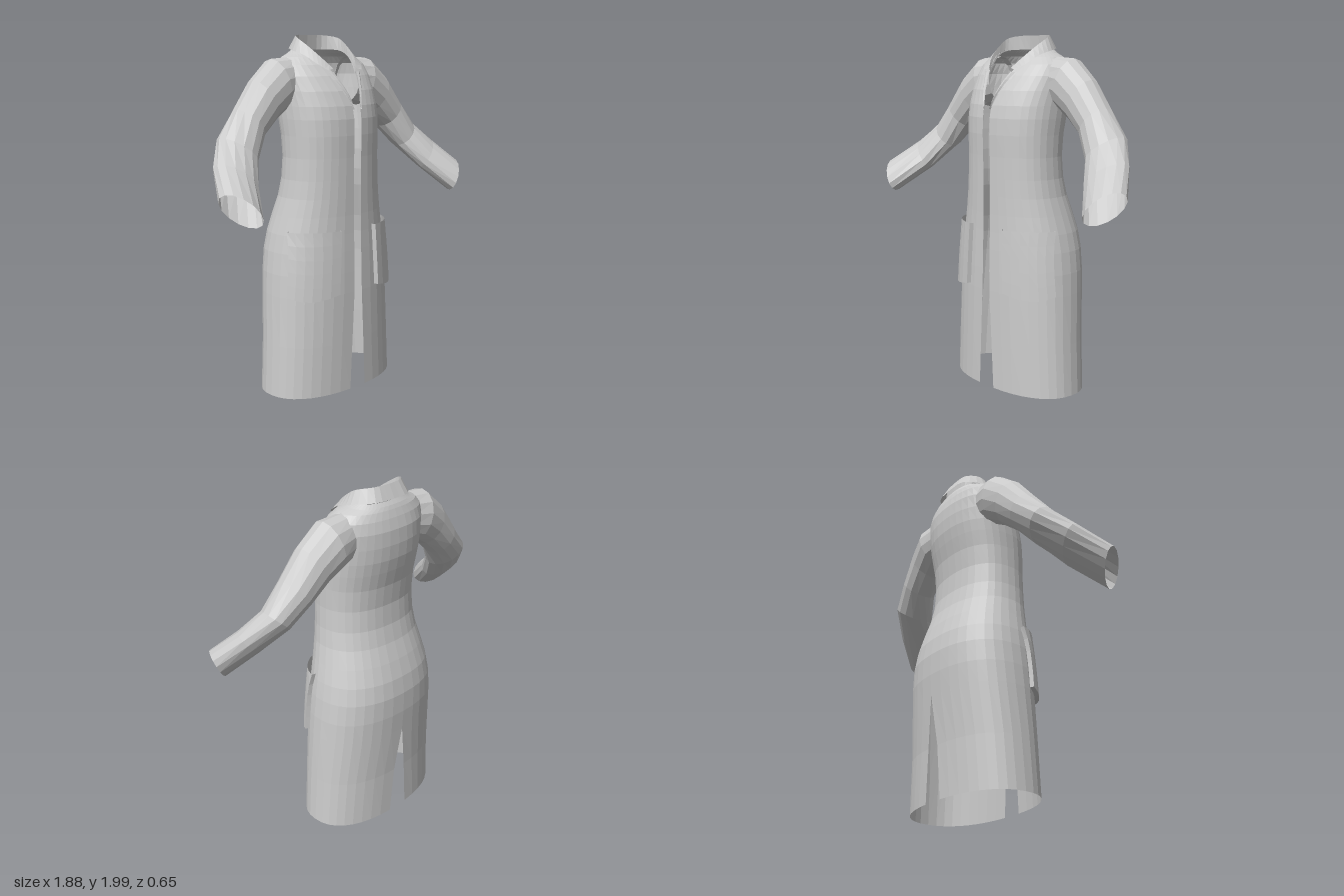
import * as THREE from 'three';

const material = new THREE.MeshStandardMaterial({ color: 0xcccccc, flatShading: true, side: THREE.DoubleSide });
const CENTRE = -0.008;

// Surface through rows of [x, y, z] points; side = -1 mirrors it in x
function sheet(name, rows, side = 1, shift = CENTRE) {
  const n = rows[0].length, pos = [], idx = [];
  for (const row of rows) {
    const r = side < 0 ? [...row].reverse() : row;
    for (const [x, y, z] of r) pos.push(x * side + shift, y, z);
  }
  for (let i = 0; i < rows.length - 1; i++) {
    for (let j = 0; j < n - 1; j++) {
      const a = i * n + j, c = a + n;
      idx.push(a, a + 1, c, a + 1, c + 1, c);
    }
  }
  const g = new THREE.BufferGeometry();
  g.setAttribute('position', new THREE.Float32BufferAttribute(pos, 3));
  g.setIndex(idx);
  g.computeVertexNormals();
  const mesh = new THREE.Mesh(g, material);
  mesh.name = name;
  return mesh;
}

// Coat profile: height, half width, front z, back z, half front gap, half back slit
const PROFILE = [
  [0.01, 0.44, 0.21, -0.30, 0.06, 0.065],
  [0.3, 0.422, 0.21, -0.305, 0.045, 0.042],
  [0.58, 0.405, 0.21, -0.322, 0.03, 0],
  [0.7, 0.396, 0.208, -0.33, 0.028, 0],
  [0.82, 0.382, 0.205, -0.33, 0.028, 0],
  [0.92, 0.364, 0.202, -0.315, 0.028, 0],
  [1.02, 0.34, 0.2, -0.285, 0.028, 0],
  [1.12, 0.317, 0.2, -0.25, 0.028, 0],
  [1.22, 0.304, 0.2, -0.228, 0.028, 0],
  [1.34, 0.298, 0.2, -0.22, 0.028, 0],
  [1.46, 0.3, 0.203, -0.232, 0.028, 0],
  [1.55, 0.304, 0.2, -0.252, 0.028, 0],
  [1.62, 0.305, 0.188, -0.265, 0.03, 0],
  [1.7, 0.305, 0.16, -0.27, 0.052, 0],
  [1.78, 0.305, 0.115, -0.266, 0.083, 0],
  [1.84, 0.292, 0.07, -0.25, 0.11, 0],
  [1.88, 0.25, 0.03, -0.235, 0.13, 0],
  [1.9, 0.2, 0, -0.225, 0.14, 0],
  [1.92, 0.17, -0.03, -0.21, 0.15, 0],
];
const POWER = 2.3;

function profileAt(y) {
  let i = 0;
  while (i < PROFILE.length - 2 && PROFILE[i + 1][0] < y) i++;
  const a = PROFILE[i], b = PROFILE[i + 1], t = (y - a[0]) / (b[0] - a[0]);
  return a.map((v, k) => v + (b[k] - v) * t);
}

// Angle from the front centre at which the coat reaches a given x
const angleAt = (x, hw) => Math.asin(Math.min(1, x / hw) ** (POWER / 2));

// Point on the coat, pushed outwards by off
function coatPoint(p, angle, off = 0) {
  const [y, hw, zf, zb] = p, zc = (zf + zb) / 2, depth = (zf - zb) / 2;
  const s = Math.max(0, Math.sin(angle)), c = Math.cos(angle);
  return [(hw + off) * s ** (2 / POWER), y, zc + (depth + off) * Math.sign(c) * Math.abs(c) ** (2 / POWER)];
}

const range = (n) => Array.from({ length: n + 1 }, (_, i) => i / n);

// Half of the body, from the front edge to the middle of the back
function bodyHalf(side) {
  const rows = PROFILE.map((p) => {
    const a0 = angleAt(p[4], p[1]), a1 = Math.PI - angleAt(p[5], p[1]);
    return range(18).map((t) => coatPoint(p, a0 + (a1 - a0) * t));
  });
  return sheet('coatBody', rows, side);
}

// Patch pocket standing off the coat, open at the top
function pocket(side) {
  const row = (t, off) => {
    const at = (u, o) => {
      const sag = 0.025 * Math.sin(Math.PI * u) * (1 - t);
      const p = profileAt(0.59 + 0.355 * t - sag);
      const a0 = angleAt(0.148 - 0.02 * t, p[1]), a1 = angleAt(0.385 - 0.035 * t, p[1]);
      return coatPoint(p, a0 + (a1 - a0) * u, o);
    };
    return [at(0, 0), ...range(6).map((u) => at(u, off)), at(1, 0)];
  };
  return sheet('pocket', [row(0, 0), ...range(5).map((t) => row(t, 0.024))], side);
}

// Turned-back lapel along the neck opening
function lapel(side) {
  const rows = range(5).map((t) => {
    const p = profileAt(1.6 + 0.2 * t);
    return range(3).map((u) => {
      const off = 0.012 * Math.sin(Math.PI * Math.min(1, u + 0.25));
      return coatPoint(p, angleAt(p[4] - 0.004 + u * (0.004 + 0.045 * t), p[1]), off);
    });
  });
  return sheet('lapel', rows, side);
}

// Collar half: fall edge, fold line and inner edge, each from front tip to back
function collar(side) {
  const fall = [[0.13, 1.81, 0.105], [0.167, 1.84, 0.065], [0.19, 1.89, -0.02], [0.195, 1.915, -0.11], [0.12, 1.93, -0.215], [0, 1.93, -0.23]];
  const fold = [[0.09, 1.82, 0.1], [0.13, 1.88, 0.045], [0.155, 1.945, -0.04], [0.16, 1.985, -0.11], [0.1, 2, -0.18], [0, 2, -0.193]];
  const inner = [[0.085, 1.79, 0.095], [0.12, 1.84, 0.04], [0.147, 1.89, -0.03], [0.153, 1.915, -0.1], [0.1, 1.92, -0.185], [0, 1.92, -0.2]];
  const smooth = (pts) => new THREE.CatmullRomCurve3(pts.map((p) => new THREE.Vector3(...p)))
    .getPoints(15).map((v) => v.toArray());
  return sheet('collar', [fall, fold, inner].map(smooth), side);
}

// Sleeve sections: centre, vector to the top, vector to the front
const SLEEVE = [
  [[0.22, 1.752, -0.1], [0.0, 0.13, 0], [0, 0, 0.1]],
  [[0.33, 1.735, -0.1], [0.04, 0.137, 0], [0, 0, 0.12]],
  [[0.44, 1.655, -0.09], [0.065, 0.107, 0], [0, 0, 0.112]],
  [[0.55, 1.54, -0.08], [0.07, 0.078, 0], [-0.005, 0, 0.105]],
  [[0.655, 1.41, -0.045], [0.075, 0.067, 0], [-0.03, -0.015, 0.105]],
  [[0.755, 1.285, 0.06], [0.065, 0.075, 0], [-0.06, -0.015, 0.09]],
  [[0.865, 1.152, 0.19], [0.045, 0.085, 0], [-0.06, -0.02, 0.09]],
];

function sleeve(side) {
  const rows = SLEEVE.map(([c, u, v], i) => range(14).map((t) => {
    const a = t * Math.PI * 2;
    const p = c.map((k, j) => k + Math.cos(a) * u[j] + Math.sin(a) * v[j]);
    // the right forearm reaches slightly further forward
    if (side < 0 && i === SLEEVE.length - 1) p[2] += 0.04;
    return p;
  }));
  return sheet('sleeve', rows, side, 0);
}

export function createModel() {
  const coat = new THREE.Group();
  coat.name = 'coat';
  for (const side of [1, -1]) {
    const half = new THREE.Group();
    half.name = side > 0 ? 'leftHalf' : 'rightHalf';
    half.add(bodyHalf(side), sleeve(side), collar(side), lapel(side), pocket(side));
    coat.add(half);
  }
  return coat;
}
